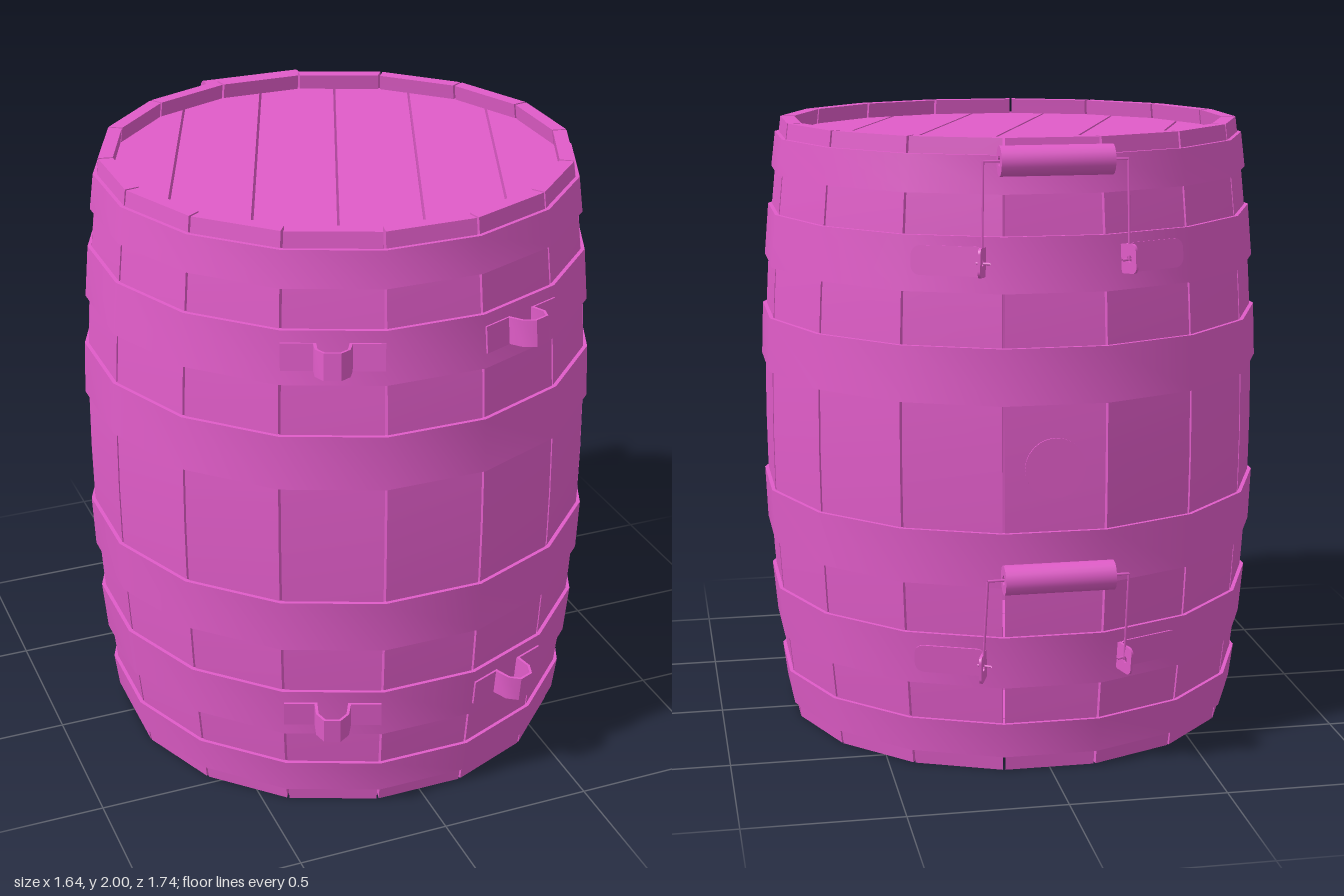
import * as THREE from 'three';
import { toCreasedNormals } from 'three/addons/utils/BufferGeometryUtils.js';

const SIDES = 16, STEP = (Math.PI * 2) / SIDES, HALF = STEP / 2;
const material = new THREE.MeshStandardMaterial({ color: 0xe05cc8, side: THREE.DoubleSide });

// Distance from the axis to the flat of a stave at height y
const bulge = (y) => 0.81 - 0.07 * (y - 1) ** 2;

function add(parent, name, geometry, x = 0, y = 0, z = 0) {
  const mesh = new THREE.Mesh(geometry, material);
  mesh.name = name;
  mesh.position.set(x, y, z);
  parent.add(mesh);
  return mesh;
}

// One stave: rectangular sections stacked along the bulging profile
function staveGeometry() {
  const levels = 12, gap = 0.004, thick = 0.045, t = Math.tan(HALF);
  const rings = [];
  for (let i = 0; i <= levels; i++) {
    const y = (2 * i) / levels, out = bulge(y), inn = out - thick;
    const wo = out * t - gap, wi = inn * t - gap;
    rings.push([[-wo, y, out], [wo, y, out], [wi, y, inn], [-wi, y, inn]]);
  }
  const pos = [];
  const quad = (a, b, c, d) => pos.push(...a, ...b, ...c, ...a, ...c, ...d);
  for (let i = 0; i < levels; i++) {
    for (let k = 0; k < 4; k++) {
      const n = (k + 1) % 4;
      quad(rings[i][k], rings[i][n], rings[i + 1][n], rings[i + 1][k]);
    }
  }
  quad(...rings[levels]);
  quad(...rings[0].slice().reverse());
  const g = new THREE.BufferGeometry();
  g.setAttribute('position', new THREE.Float32BufferAttribute(pos, 3));
  return toCreasedNormals(g, 0.2);
}

// Closed ring around the staves, smooth around and sharp at its edges
function hoopGeometry(y0, y1) {
  const k = 1 / Math.cos(HALF), o = 0.012;
  const pts = [[o, y0], [o, y1], [-0.004, y1], [-0.004, y0], [o, y0]]
    .map(([d, y]) => new THREE.Vector2((bulge(y) + d) * k, y));
  return toCreasedNormals(new THREE.LatheGeometry(pts, SIDES, HALF), 0.5);
}

// Keep the part of a convex polygon where p . n >= d
function clip(poly, n, d) {
  const result = [];
  poly.forEach((p, i) => {
    const q = poly[(i + 1) % poly.length], a = p.dot(n) - d, b = q.dot(n) - d;
    if (a >= 0) result.push(p);
    if (a * b < 0) result.push(p.clone().lerp(q, a / (a - b)));
  });
  return result;
}

// Round lid sawn into parallel planks
function addLid(parent, name, y, nx, nz) {
  const lid = new THREE.Group();
  lid.name = name;
  parent.add(lid);
  const n = new THREE.Vector2(nx, -nz).normalize(), r = 0.715 / Math.cos(HALF);
  const outline = Array.from({ length: SIDES }, (_, i) =>
    new THREE.Vector2(Math.cos(HALF + i * STEP) * r, Math.sin(HALF + i * STEP) * r));
  for (let i = -3; i < 3; i++) {
    const lo = i === -3 ? -1 : i * 0.255 + 0.004, hi = i === 2 ? 1 : (i + 1) * 0.255 - 0.004;
    const piece = clip(clip(outline, n, lo), n.clone().negate(), -hi);
    const g = new THREE.ExtrudeGeometry(new THREE.Shape(piece), { depth: 0.04, bevelEnabled: false });
    add(lid, 'lidPlank', g.rotateX(-Math.PI / 2), 0, y, 0);
  }
}

function roundedRect(x0, y0, x1, y1, r) {
  const s = new THREE.Shape();
  s.absarc(x1 - r, y0 + r, r, -Math.PI / 2, 0);
  s.absarc(x1 - r, y1 - r, r, 0, Math.PI / 2);
  s.absarc(x0 + r, y1 - r, r, Math.PI / 2, Math.PI);
  s.absarc(x0 + r, y0 + r, r, Math.PI, Math.PI * 1.5);
  return s;
}

// Frame lying on the hoop at the given angle and height, local z pointing outward
function surfaceMount(parent, name, angle, y) {
  const g = new THREE.Group();
  g.name = name;
  const a = bulge(y) + 0.012;
  g.position.set(Math.sin(angle) * a, y, Math.cos(angle) * a);
  g.rotation.set(-0.14 * (y - 1), angle, 0, 'YXZ');
  parent.add(g);
  return g;
}

// Flat strap with a raised belt loop in the middle
function strapGeometry() {
  const outer = [[-0.155, 0.006], [-0.058, 0.006], [-0.052, 0.055], [-0.026, 0.088],
    [0.026, 0.088], [0.052, 0.055], [0.058, 0.006], [0.155, 0.006]];
  const inner = [[0.155, -0.003], [0.049, -0.003], [0.044, 0.052], [0.022, 0.08],
    [-0.022, 0.08], [-0.044, 0.052], [-0.049, -0.003], [-0.155, -0.003]];
  const shape = new THREE.Shape([...outer, ...inner].map(([x, z]) => new THREE.Vector2(x, -z)));
  const g = new THREE.ExtrudeGeometry(shape, { depth: 0.085, bevelEnabled: false });
  return toCreasedNormals(g.translate(0, 0, -0.0425).rotateX(-Math.PI / 2), 0.7);
}

// Thin straight wire between two points
function addWire(parent, a, b) {
  const path = new THREE.LineCurve3(new THREE.Vector3(...a), new THREE.Vector3(...b));
  add(parent, 'handleWire', new THREE.TubeGeometry(path, 1, 0.004, 6));
}

// Carrying handle: two eared plates, a wire and a hollow grip
function addHandle(parent, plateY, gripY, gripZ) {
  const handle = new THREE.Group();
  handle.name = 'handle';
  parent.add(handle);
  const hole = [0.225, plateY, -0.805];
  for (const s of [1, -1]) {
    const mount = surfaceMount(handle, 'handleMount', Math.PI - s * STEP, plateY);
    const plate = new THREE.ExtrudeGeometry(roundedRect(-0.115, -0.045, 0.115, 0.045, 0.03),
      { depth: 0.008, bevelEnabled: false, curveSegments: 5 });
    add(mount, 'handlePlate', plate, -s * 0.012, 0, -0.003);
    const earShape = roundedRect(-0.075, -0.045, 0.01, 0.045, 0.02);
    earShape.holes.push(new THREE.Path().absarc(-0.042, 0, 0.011, 0, Math.PI * 2));
    const ear = new THREE.ExtrudeGeometry(earShape, { depth: 0.008, bevelEnabled: false, curveSegments: 5 });
    add(mount, 'handleEar', ear.translate(0, 0, -0.004).rotateY(Math.PI / 2), s * 0.1, 0, 0);
    const corner = [s * 0.22, gripY, gripZ];
    addWire(handle, [s * 0.2, hole[1], hole[2] - 0.01], [s * 0.24, hole[1], hole[2] + 0.015]);
    addWire(handle, [s * hole[0], hole[1], hole[2]], corner);
    addWire(handle, corner, [0, gripY, gripZ]);
  }
  const profile = [[0.046, -0.172], [0.046, 0.172], [0.016, 0.172], [0.016, -0.172], [0.046, -0.172]]
    .map(([x, y]) => new THREE.Vector2(x, y));
  const grip = toCreasedNormals(new THREE.LatheGeometry(profile, 20), 0.6);
  add(handle, 'handleGrip', grip.rotateZ(Math.PI / 2), 0, gripY, gripZ);
}

export function createModel() {
  const model = new THREE.Group();
  model.name = 'barrel';
  const body = new THREE.Group();
  body.name = 'barrelBody';
  body.position.z = 0.045;
  model.add(body);

  // Staves
  const stave = staveGeometry();
  for (let i = 0; i < SIDES; i++) add(body, 'stave', stave).rotation.y = i * STEP;

  // Hoops, mirrored about the middle
  for (const [y0, y1] of [[0.05, 0.165], [0.29, 0.46], [0.625, 0.8]]) {
    add(body, 'hoop', hoopGeometry(y0, y1));
    add(body, 'hoop', hoopGeometry(2 - y1, 2 - y0));
  }

  // Recessed lids
  addLid(body, 'topLid', 1.91, 0.93, 0.36);
  addLid(body, 'bottomLid', 0.05, -0.5, 0.85);

  // Bung plug at the back
  const bung = new THREE.CylinderGeometry(0.095, 0.095, 0.03, 24).rotateX(Math.PI / 2);
  add(body, 'bung', bung, 0, 1, -0.799);

  // Belt loops at the front
  const strap = strapGeometry();
  for (const y of [0.375, 1.63]) {
    for (const s of [1, -1]) add(surfaceMount(body, 'beltLoop', s * STEP, y), 'beltStrap', strap);
  }

  // Handles at the back
  addHandle(body, 1.635, 1.938, -0.8);
  addHandle(body, 0.375, 0.67, -0.87);
  return model;
}
